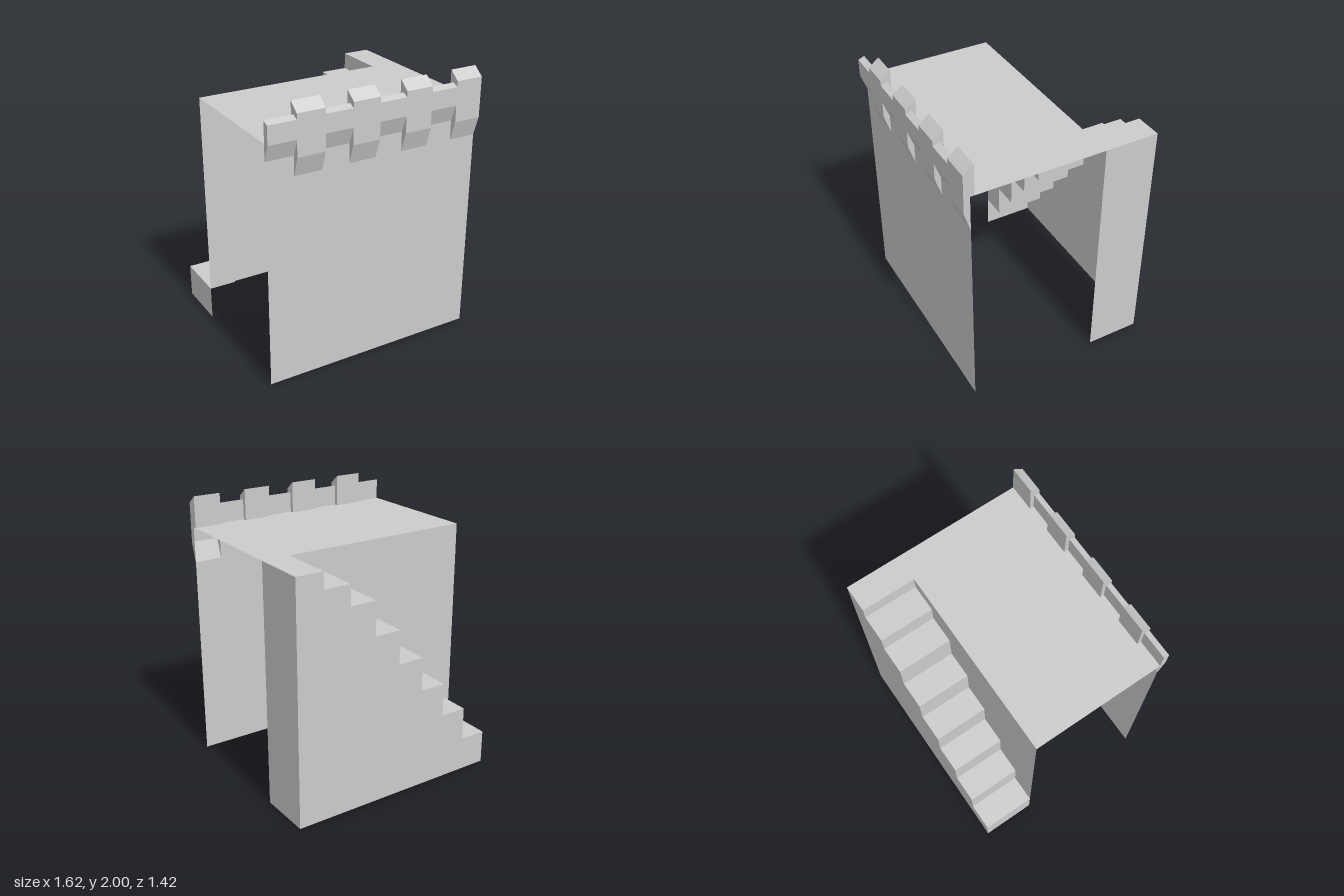
import * as THREE from 'three';

const W = 0.81;              // half width
const DECK = 1.77;           // walkway height
const WALL_Z = 0.665, FRONT_Z = 0.71;
const STAIR_BACK = -0.71, STAIR_FRONT = -0.31;
const COUNT = 8, STEP = (2 * W) / COUNT;

const material = new THREE.MeshStandardMaterial({ color: 0xcccccc, side: THREE.DoubleSide, flatShading: true });

function add(group, geometry, name) {
  const mesh = new THREE.Mesh(geometry, material);
  mesh.name = name;
  group.add(mesh);
}

// Sweeps an open profile between two ends; place(point, end) gives [x, y, z].
function ribbon(profile, end0, end1, place) {
  const v = [];
  for (let i = 0; i < profile.length - 1; i++) {
    const a = place(profile[i], end0), b = place(profile[i], end1);
    const c = place(profile[i + 1], end1), d = place(profile[i + 1], end0);
    v.push(...a, ...b, ...c, ...a, ...c, ...d);
  }
  const g = new THREE.BufferGeometry();
  g.setAttribute('position', new THREE.Float32BufferAttribute(v, 3));
  g.computeVertexNormals();
  return g;
}

// Flat polygon in the xy plane, facing +z, or -z when flipped.
function panel(points, flip = false) {
  const g = new THREE.ShapeGeometry(new THREE.Shape(points.map(p => new THREE.Vector2(...p))));
  if (flip) {
    g.index.array.reverse();
    g.computeVertexNormals();
  }
  return g;
}

const alongX = ([z, y], x) => [x, y, z];
const alongZ = ([x, y], z) => [x, y, z];

// Parapet sections as [z, y], from the lower lip over the front to the back.
const tall = [[WALL_Z, 1.51], [FRONT_Z, 1.65], [FRONT_Z, 1.94], [0.635, 2.0], [0.635, DECK]];
const low = [[WALL_Z, 1.65], [FRONT_Z, DECK], [FRONT_Z, 1.9], [WALL_Z, 1.92], [WALL_Z, DECK]];

export function createModel() {
  const model = new THREE.Group();
  model.name = 'castleWall';

  // Front wall, its top edge following the underside of the parapet
  const wall = [[W, 0], [-W, 0]];
  for (let i = 0; i < COUNT; i++) {
    const x = -W + i * STEP, y = i % 2 ? 1.51 : 1.65;
    wall.push([x, y], [x + STEP, y]);
  }
  add(model, panel(wall).translate(0, 0, WALL_Z), 'frontWall');

  // Walkway
  add(model, ribbon([[-W, DECK], [W, DECK]], STAIR_FRONT, WALL_Z, alongZ), 'walkway');

  // Parapet of alternating merlons and low sections
  const parapet = new THREE.Group();
  parapet.name = 'parapet';
  model.add(parapet);
  for (let i = 0; i < COUNT; i++) {
    const profile = i % 2 ? tall : low, name = i % 2 ? 'merlon' : 'crenel';
    const x = -W + i * STEP;
    add(parapet, ribbon(profile, x, x + STEP, alongX), name);
    const outline = i % 2 ? [...profile, [WALL_Z, DECK]] : profile;
    const side = (px, flip) => add(parapet, panel(outline, flip).rotateY(-Math.PI / 2).translate(px, 0, 0), name + 'Side');
    if (i % 2 || i === 0) side(x, false);
    if (i % 2) side(x + STEP, true);
  }

  // Stairs rising towards +x, open underneath
  const stairs = new THREE.Group();
  stairs.name = 'stairs';
  model.add(stairs);
  const heights = [0.25, 0.5, 0.75, 1.0, 1.25, 1.5, 1.65, DECK];
  const steps = [[-W, 0]];
  heights.forEach((y, i) => steps.push([-W + i * STEP, y], [-W + (i + 1) * STEP, y]));
  const outline = [...steps, [W, 0]];
  add(stairs, ribbon(outline, STAIR_BACK, STAIR_FRONT, alongZ), 'treadsAndRisers');
  add(stairs, panel(outline, true).translate(0, 0, STAIR_BACK), 'stairBack');

  // Wall between the steps and the walkway
  const upper = [...steps.slice(1, -1), [-W, DECK]];
  add(stairs, panel(upper, true).translate(0, 0, STAIR_FRONT), 'wallAboveStairs');

  return model;
}
